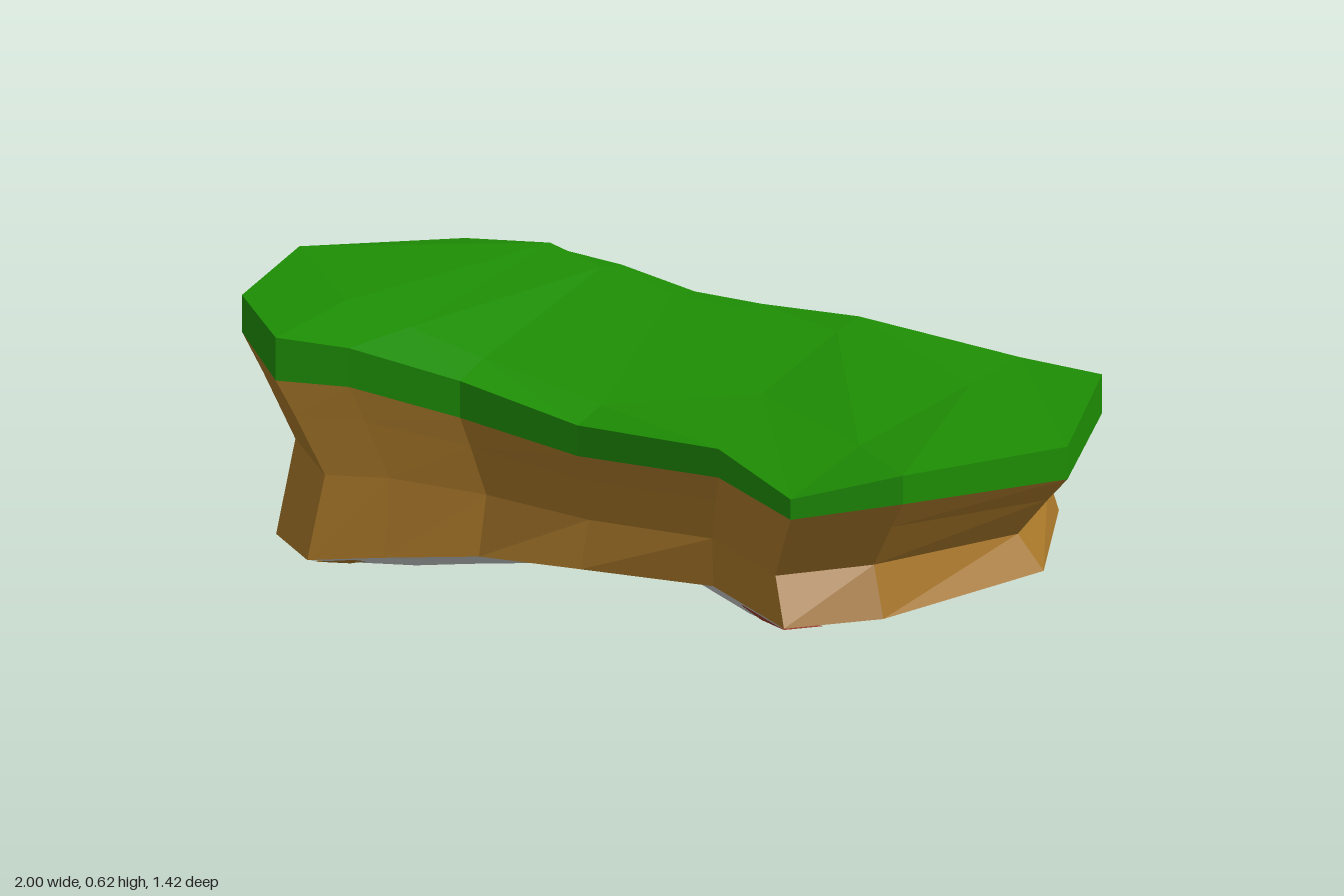
import * as THREE from 'three';

const material = (name, color, side = THREE.FrontSide) => {
  const m = new THREE.MeshStandardMaterial({ color, side });
  m.name = name;
  return m;
};

// Outline stations, counterclockwise from above, starting at the left end:
// [rim x, rim z, grass top y, grass bottom y, foot size relative to rim]
const STATIONS = [
  [-1.0, -0.05, 0.625, 0.53, 0.975],
  [-0.93, 0.41, 0.62, 0.53, 0.92],
  [-0.74, 0.62, 0.585, 0.48, 0.92],
  [-0.59, 0.53, 0.555, 0.46, 0.89],
  [-0.36, 0.4, 0.47, 0.38, 0.91],
  [-0.06, 0.38, 0.39, 0.315, 0.97],
  [0.33, 0.42, 0.385, 0.315, 0.9],
  [0.66, 0.71, 0.365, 0.315, 0.945],
  [0.87, 0.53, 0.405, 0.335, 0.915],
  [1.0, -0.1, 0.345, 0.265, 0.94],
  [0.8, -0.705, 0.36, 0.265, 0.9],
  [0.58, -0.715, 0.375, 0.28, 0.86],
  [0.2, -0.62, 0.455, 0.35, 0.88],
  [-0.05, -0.61, 0.46, 0.36, 0.9],
  [-0.22, -0.595, 0.475, 0.38, 0.92],
  [-0.42, -0.61, 0.515, 0.42, 0.935],
  [-0.61, -0.635, 0.53, 0.44, 0.94],
  [-0.84, -0.625, 0.53, 0.44, 0.975],
];

// Unshared triangles give faceted normals
function facetedMesh(name, triangles, mat) {
  const g = new THREE.BufferGeometry();
  g.setAttribute('position', new THREE.Float32BufferAttribute(triangles.flat(2), 3));
  g.computeVertexNormals();
  const mesh = new THREE.Mesh(g, mat);
  mesh.name = name;
  return mesh;
}

const quad = (a, b, c, d) => [[a, b, c], [a, c, d]].filter(([p, q, r]) => p !== q && q !== r && p !== r);

// Band of outward faces between two rings
function band(upper, lower) {
  return upper.flatMap((u, i) => {
    const j = (i + 1) % upper.length;
    return quad(lower[i], lower[j], upper[j], u);
  });
}

export function createModel() {
  const grass = material('grass green', 0x1d8b04);
  const dirt = material('dirt brown', 0xa57528, THREE.DoubleSide);
  const stone = material('stone grey', 0xc6c7c8);
  const soil = material('dark soil', 0x552408, THREE.DoubleSide);
  const clay = material('red clay', 0x9c4030, THREE.DoubleSide);

  // Rings from the grass rim down; the waist follows the height of the rim
  const ring = (place) => STATIONS.map(([x, z, top, bottom, foot]) => {
    const [size, y] = place(top, bottom, foot);
    return [x * size, y, z * size];
  });
  const waistY = (bottom) => bottom * 0.56 - 0.028;
  const rimTop = ring((top) => [1, top]);
  const rimBottom = ring((top, bottom) => [1, bottom]);
  const shoulder = ring((top, bottom) => [0.95, THREE.MathUtils.lerp(bottom, waistY(bottom), 0.38)]);
  const waist = ring((top, bottom) => [0.875, waistY(bottom)]);
  const base = ring((top, bottom, foot) => [foot, 0.035]);
  const inner = ring((top, bottom, foot) => [foot * 0.7, 0.005]);

  const group = new THREE.Group();
  group.name = 'grassyLedge';

  // Grass surface: columns from back to front, with two inner points each
  const T = rimTop;
  const columns = [
    [T[17], T[0], T[1], T[1]],
    [T[16], [-0.58, 0.565, -0.55], [-0.71, 0.605, 0.3], T[2]],
    [T[15], [-0.42, 0.535, -0.5], [-0.54, 0.56, 0.3], T[3]],
    [T[14], [-0.22, 0.495, -0.47], [-0.37, 0.49, 0.25], T[4]],
    [T[13], [-0.06, 0.475, -0.5], [-0.06, 0.41, 0.25], T[5]],
    [T[12], [0.2, 0.445, -0.5], [0.22, 0.4, -0.05], T[6]],
    [T[11], [0.6, 0.385, -0.4], [0.62, 0.385, 0.25], T[7]],
    [T[10], T[9], T[8], T[8]],
  ];
  const surface = [];
  for (let c = 0; c < columns.length - 1; c++) {
    for (let r = 0; r < 3; r++) {
      const a = columns[c], b = columns[c + 1];
      surface.push(...quad(a[r], a[r + 1], b[r + 1], b[r]));
    }
  }
  group.add(facetedMesh('grassTop', surface, grass));
  group.add(facetedMesh('grassEdge', band(rimTop, rimBottom), grass));

  // Dirt cliff: shoulder, waist, flared foot
  group.add(facetedMesh('dirtCliff',
    [...band(rimBottom, shoulder), ...band(shoulder, waist), ...band(waist, base)], dirt));

  // Shallow stone underside
  const center = [0, 0.003, 0];
  const floor = inner.map((p, i) => [center, inner[(i + 1) % inner.length], p]);
  group.add(facetedMesh('stoneUnderside', [...band(base, inner), ...floor], stone));

  // Point just below the stone slope: s runs along the stations, f is the
  // distance outward (0.7 at the inner ring, 1 at the foot)
  const under = ([s, f]) => {
    const i = Math.floor(s), n = base.length;
    const a = base[i % n], b = base[(i + 1) % n];
    const along = (k) => THREE.MathUtils.lerp(a[k], b[k], s - i) * f;
    return [along(0), 0.002 + 0.1 * (f - 0.7), along(2)];
  };

  // Thin patches on the underside, one flat piece per facet of the slope
  const patch = (name, mat, pieces) => group.add(facetedMesh(name,
    pieces.flatMap((piece) => quad(...piece.map(under))), mat));
  patch('leftSoilPatch', soil, [
    [[17.43, 0.73], [17.59, 1], [18, 1], [18, 0.7]],
    [[0, 0.7], [0, 1], [0.3, 0.8], [0.2, 0.7]],
  ]);
  patch('rightClayPatch', clay, [
    [[7, 1], [7.4, 1], [7.35, 0.88], [7, 0.8]],
    [[6.4, 1], [7, 1], [7, 0.8], [6.5, 0.93]],
  ]);
  patch('cornerDirtPatch', dirt, [
    [[2, 0.98], [2.6, 1], [2.5, 0.94], [2, 0.88]],
    [[1.75, 0.9], [1.85, 0.94], [2, 0.98], [2, 0.88]],
  ]);
  return group;
}
